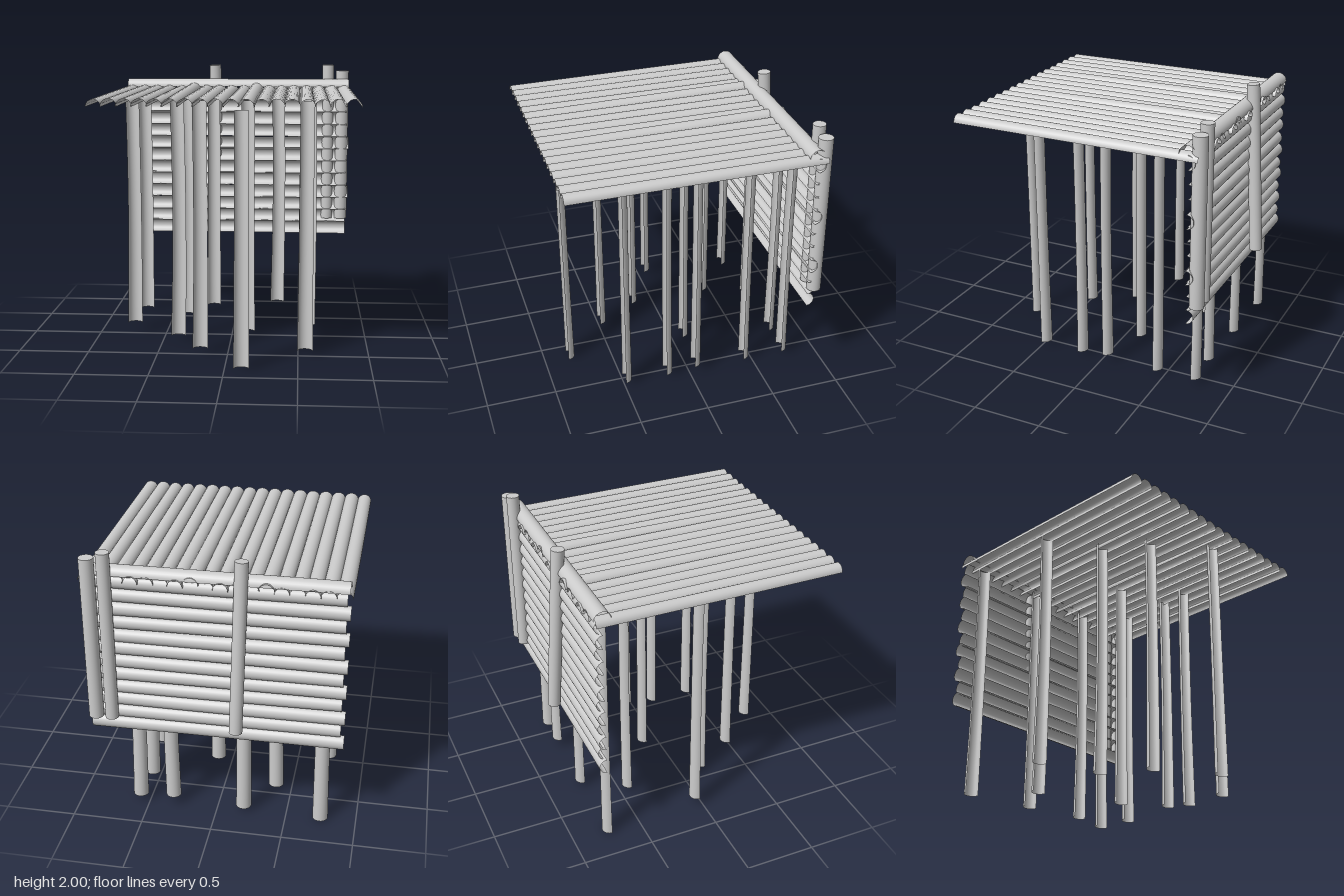
import * as THREE from 'three';

export function createModel() {
  const root = new THREE.Group();
  const material = new THREE.MeshStandardMaterial({ color: 0xcccccc, side: THREE.DoubleSide });

  // seeded variation in -1..1
  let seed = 7;
  const vary = () => {
    seed = (seed * 16807) % 2147483647;
    return (seed / 2147483647) * 2 - 1;
  };

  const group = (name) => {
    const g = new THREE.Group();
    g.name = name;
    root.add(g);
    return g;
  };

  // open half log along y, round side to -z, with a slight bow and narrower waist
  function halfLog(name, parent, length, rTop, rBottom, bow = 0, waist = 0) {
    const geo = new THREE.CylinderGeometry(rTop, rBottom, length, 14, 8, true, Math.PI / 2, Math.PI);
    const p = geo.attributes.position;
    for (let i = 0; i < p.count; i++) {
      const t = p.getY(i) / length + 0.5;
      const mid = Math.sin(t * Math.PI);
      p.setX(i, p.getX(i) * (1 - waist * mid) + bow * mid);
      p.setZ(i, p.getZ(i) * (1 - waist * mid));
    }
    geo.computeVertexNormals();
    const mesh = new THREE.Mesh(geo, material);
    mesh.name = name;
    parent.add(mesh);
    return mesh;
  }

  // posts: x, z of the shell centre, bottom y, top y, bow
  const posts = group('posts');
  [
    [-0.745, -0.72, 0, 1.81, 0.006], [-0.19, -0.72, 0.035, 1.82, 0],
    [0.325, -0.72, 0.07, 1.83, 0.01], [0.57, -0.72, 0.05, 1.80, -0.01],
    [-0.385, -0.42, 0.035, 1.80, 0.014], [0.555, -0.42, 0.035, 1.80, -0.006],
    [-0.74, -0.03, 0.07, 1.81, 0.008], [0.57, -0.03, 0.07, 1.81, 0.008],
    [0.115, -0.085, 0, 1.76, 0], [-0.385, 0.185, 0.035, 1.80, 0.012],
    [0.555, 0.185, 0.035, 1.80, -0.006], [-0.195, 0.495, 0.035, 1.80, 0.006],
    [0.55, 0.495, 0.035, 1.80, 0], [0.115, 0.825, 0, 1.76, 0],
  ].forEach(([x, z, y0, y1, bow]) => {
    halfLog('post', posts, y1 - y0, 0.05, 0.055, bow, 0.05).position.set(x, (y0 + y1) / 2, z);
  });

  // roof: half logs running front to back, round side up
  const roof = group('roof');
  const planks = 18;
  for (let i = 0; i < planks; i++) {
    const back = -0.82 - 0.012 * (i % 3);
    const front = 0.94;
    const length = front - back;
    const log = halfLog('roofLog', roof, length, 0.052 + 0.002 * vary(), 0.052 + 0.002 * vary(), 0.003 * vary());
    // a few logs lift slightly towards the back
    const lift = i === 5 || i === 10 ? 0.018 : 0;
    log.rotation.x = Math.PI / 2 + lift / length;
    log.position.set(-0.845 + (i * 1.69) / (planks - 1), 1.79 + lift / 2 + 0.002 * vary(), (front + back) / 2);
  }

  // ridge log lying across the back of the roof
  const ridge = group('ridgeLog');
  ridge.position.set(0, 1.83, -0.77);
  ridge.rotation.x = Math.PI / 2;
  halfLog('ridgeShell', ridge, 1.76, 0.06, 0.06).rotation.z = Math.PI / 2;

  // back wall: stacked half logs, round side to the back
  const wall = group('backWall');
  const rows = 12;
  for (let i = 0; i < rows; i++) {
    const left = i % 2 ? -0.865 : -0.89;
    const right = i % 4 === 3 ? 0.89 : 0.87;
    const log = halfLog('wallLog', wall, right - left, 0.051 + 0.002 * vary(), 0.051 + 0.002 * vary(), 0.004 * vary());
    log.rotation.z = Math.PI / 2 + 0.004 * vary();
    log.position.set((left + right) / 2, 0.692 + i * 0.0985, -0.775);
  }

  // round logs standing behind the wall, set between two points
  function roundLog(name, bottom, top, r) {
    const a = new THREE.Vector3(...bottom);
    const b = new THREE.Vector3(...top);
    const dir = b.clone().sub(a);
    const mesh = new THREE.Mesh(new THREE.CylinderGeometry(r, r, dir.length(), 24), material);
    mesh.name = name;
    mesh.position.copy(a).add(b).multiplyScalar(0.5);
    mesh.quaternion.setFromUnitVectors(new THREE.Vector3(0, 1, 0), dir.normalize());
    root.add(mesh);
  }
  roundLog('innerCornerLog', [0.72, 0.76, -0.835], [0.72, 2, -0.835], 0.046);
  roundLog('outerCornerLog', [0.832, 0.76, -0.835], [0.832, 1.955, -0.835], 0.051);
  roundLog('leaningLog', [-0.16, 0.765, -0.893], [-0.185, 1.997, -0.81], 0.046);

  return root;
}
